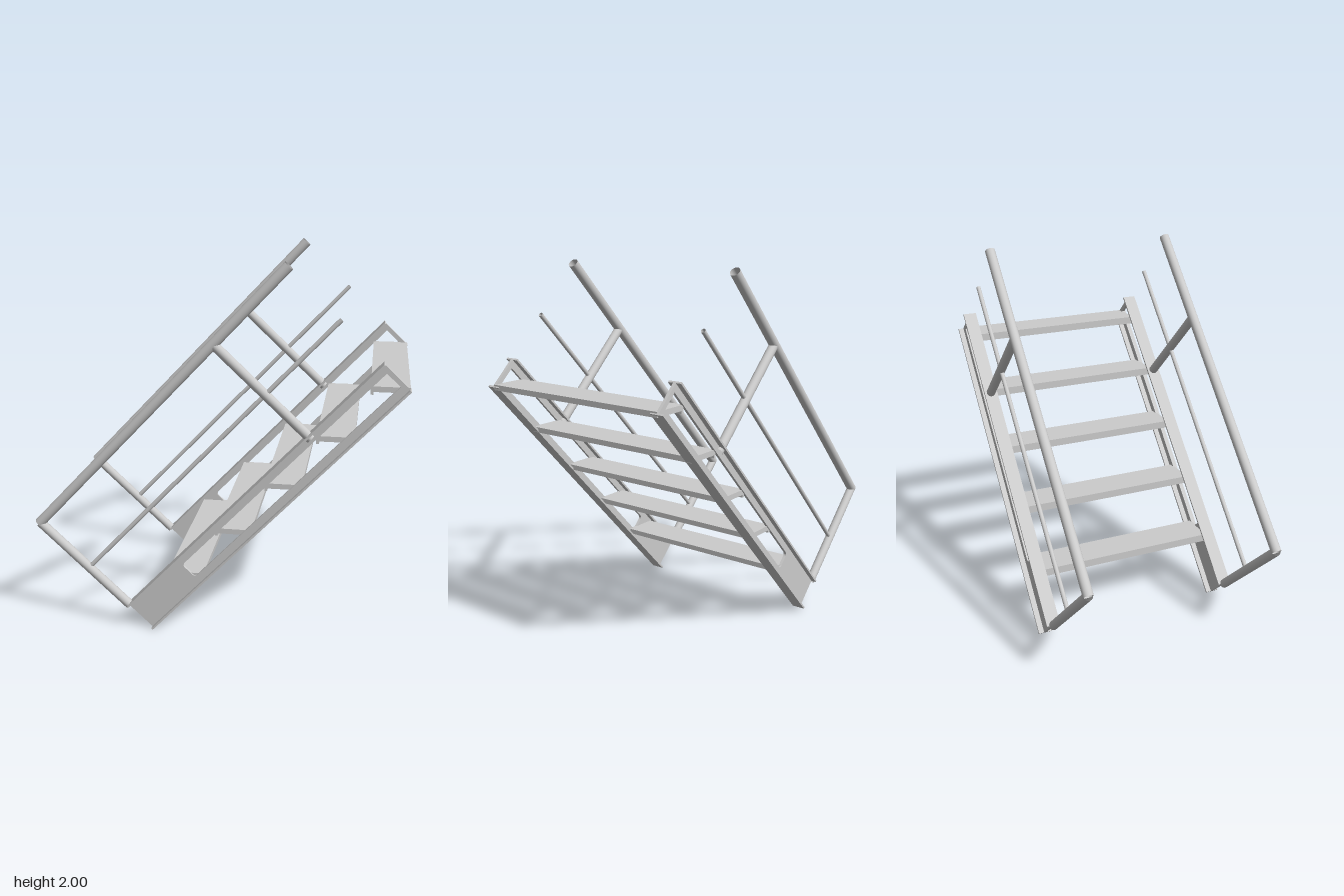
import * as THREE from 'three';

const SLOPE = THREE.MathUtils.degToRad(46.8);
const LENGTH = 1.917, DEPTH = 0.19, FLANGE = 0.01, BEAM_WIDTH = 0.075, SIDE_Z = 0.5275;

const steel = new THREE.MeshStandardMaterial({ color: 0xcccccc });
const tubeSteel = new THREE.MeshStandardMaterial({ color: 0xcccccc, side: THREE.DoubleSide });

function add(parent, name, geometry, x, y, z, material = steel) {
  const mesh = new THREE.Mesh(geometry, material);
  mesh.name = name;
  mesh.position.set(x, y, z);
  parent.add(mesh);
  return mesh;
}

// Tube in the side plane, between two points; open ends show a hollow pipe
function pipe(parent, name, x0, y0, x1, y1, radius) {
  const length = Math.hypot(x1 - x0, y1 - y0);
  const geometry = new THREE.CylinderGeometry(radius, radius, length, 20, 1, true);
  const mesh = add(parent, name, geometry, (x0 + x1) / 2, (y0 + y1) / 2, 0, tubeSteel);
  mesh.rotation.z = Math.atan2(y1 - y0, x1 - x0) - Math.PI / 2;
  return mesh;
}

// Web of the stringer with one long, round-cornered window
function webGeometry() {
  const shape = new THREE.Shape();
  shape.moveTo(0, 0);
  shape.lineTo(LENGTH, 0);
  shape.lineTo(LENGTH, DEPTH);
  shape.lineTo(0, DEPTH);
  shape.closePath();

  const a = 0.395, b = LENGTH - 0.025, lo = 0.05, hi = 0.145, r = 0.02;
  const hole = new THREE.Path();
  hole.moveTo(a, lo + r);
  hole.lineTo(a, hi - r);
  hole.quadraticCurveTo(a, hi, a + r, hi);
  hole.lineTo(b, hi);
  hole.lineTo(b, lo);
  hole.lineTo(a + r, lo);
  hole.quadraticCurveTo(a, lo, a, lo + r);
  shape.holes.push(hole);

  const thickness = 0.016;
  const geometry = new THREE.ExtrudeGeometry(shape, { depth: thickness, bevelEnabled: false, curveSegments: 6 });
  return geometry.translate(0, 0, -thickness / 2);
}

// One sloping side: stringer beam plus its handrail, in local slope coordinates
function createSide(name, z) {
  const side = new THREE.Group();
  side.name = name;
  side.position.set(-0.345, 0.003, z);
  side.rotation.z = SLOPE;

  // I-section stringer
  add(side, 'stringerWeb', webGeometry(), 0, 0, 0);
  const flange = new THREE.BoxGeometry(LENGTH, FLANGE, BEAM_WIDTH);
  add(side, 'lowerFlange', flange, LENGTH / 2, FLANGE / 2, 0);
  add(side, 'upperFlange', flange, LENGTH / 2, DEPTH - FLANGE / 2, 0);

  // Railing
  pipe(side, 'handrail', -0.005, 0.845, 1.93, 0.845, 0.027);
  pipe(side, 'midRail', 0.005, 0.484, 1.921, 0.484, 0.012);
  pipe(side, 'lowerPost', 0, 0.182, 0, 0.845, 0.025);
  pipe(side, 'upperPost', 1.39, 0.165, 1.39, 0.845, 0.025);
  return side;
}

// Horizontal tread with a folded-down nosing
function createTread(index) {
  const tread = new THREE.Group();
  tread.name = 'tread' + (index + 1);
  tread.position.set(-0.26 + index * 0.2575, 0.345 + index * 0.267, 0);
  const width = 2 * SIDE_Z;
  add(tread, 'treadPlate', new THREE.BoxGeometry(0.192, 0.028, width), 0.096, -0.014, 0);
  add(tread, 'treadNosing', new THREE.BoxGeometry(0.014, 0.042, width), 0.007, -0.021, 0);
  return tread;
}

export function createModel() {
  const stairs = new THREE.Group();
  stairs.name = 'stairs';
  stairs.add(createSide('frontSide', SIDE_Z), createSide('backSide', -SIDE_Z));
  for (let i = 0; i < 5; i++) stairs.add(createTread(i));
  return stairs;
}
